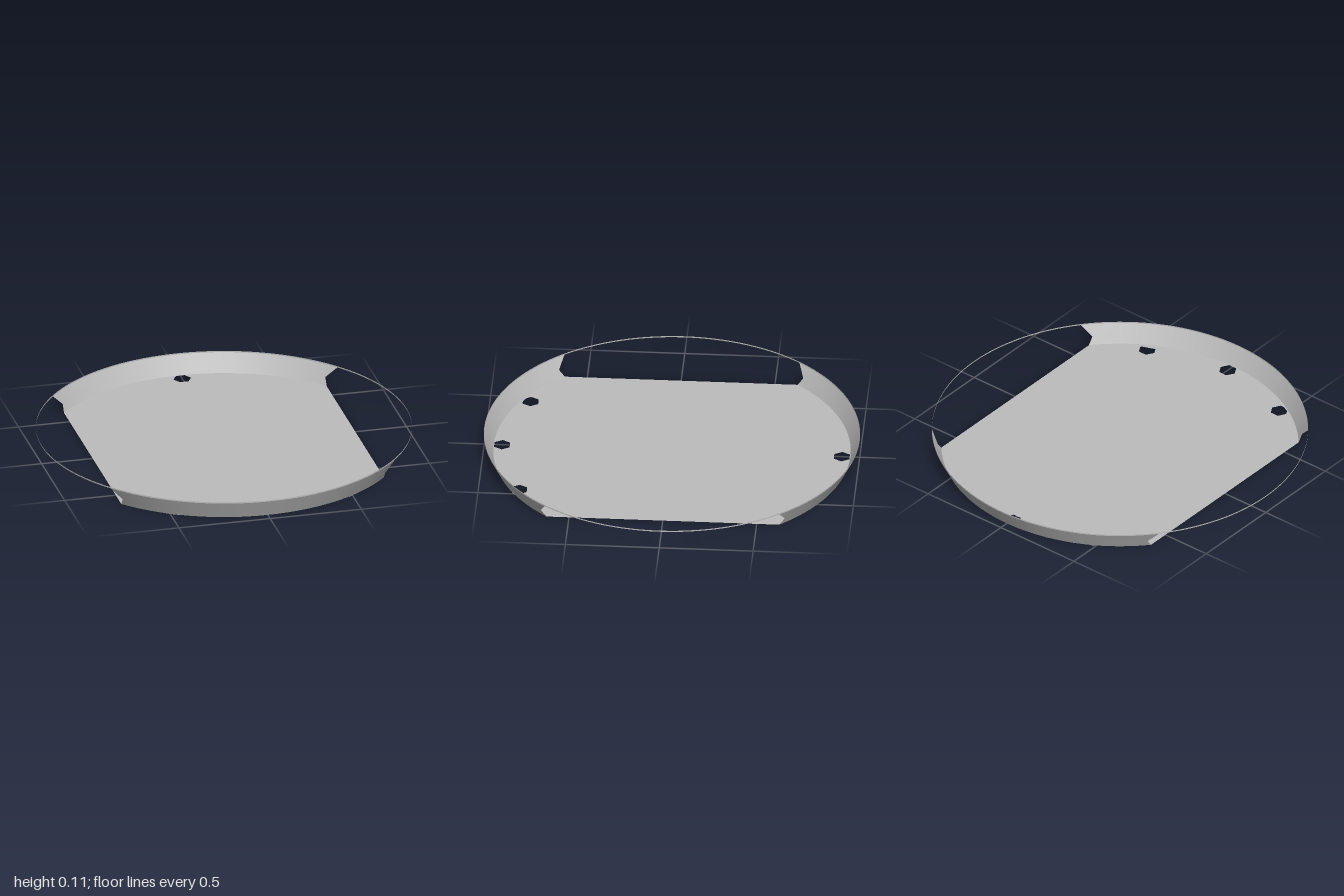
import * as THREE from 'three';

const BASE_R = 0.95, RIM_R = 1, HALF_W = 0.72;
const WALL_TOP = 0.1, RIM_TOP = 0.107;

// Flat floor: a disc trimmed straight on both sides, with six hexagonal holes
function floorGeometry() {
  const a = Math.acos(HALF_W / BASE_R);
  const shape = new THREE.Shape();
  shape.absarc(0, 0, BASE_R, a, Math.PI - a, false);
  shape.absarc(0, 0, BASE_R, Math.PI + a, 2 * Math.PI - a, false);
  shape.closePath();
  for (const side of [0, Math.PI]) {
    for (const offset of [-Math.PI / 6, 0, Math.PI / 6]) {
      const t = side + offset;
      const hole = new THREE.Path();
      for (let k = 0; k < 6; k++) {
        const h = -k * Math.PI / 3;
        const x = 0.905 * Math.sin(t) + 0.048 * Math.cos(h);
        const y = 0.905 * Math.cos(t) + 0.048 * Math.sin(h);
        if (k) hole.lineTo(x, y); else hole.moveTo(x, y);
      }
      hole.closePath();
      shape.holes.push(hole);
    }
  }
  return new THREE.ShapeGeometry(shape, 48).rotateX(-Math.PI / 2);
}

// Sloping wall: arcs whose ends follow the trimmed side, then flare outward
function wallGeometry() {
  const rows = [[0, HALF_W], [0.02, HALF_W], [0.04, HALF_W], [0.07, 0.75], [WALL_TOP, 0.78]];
  const n = 64, positions = [], index = [];
  rows.forEach(([y, halfX], j) => {
    const r = BASE_R + (RIM_R - BASE_R) * y / WALL_TOP;
    const end = Math.asin(halfX / r);
    for (let i = 0; i <= n; i++) {
      const a = -end + 2 * end * i / n;
      positions.push(r * Math.sin(a), y, r * Math.cos(a));
      if (j && i) {
        const d = j * (n + 1) + i, c = d - 1, b = d - n - 1, e = b - 1;
        index.push(e, b, d, e, d, c);
      }
    }
  });
  const g = new THREE.BufferGeometry();
  g.setAttribute('position', new THREE.Float32BufferAttribute(positions, 3));
  g.setIndex(index);
  g.computeVertexNormals();
  return g;
}

export function createModel() {
  const model = new THREE.Group();
  model.name = 'trimmedTray';
  const metal = new THREE.MeshStandardMaterial({ color: 0xbcbcbc, side: THREE.DoubleSide });
  metal.name = 'grey metal';

  const add = (name, geometry) => {
    const mesh = new THREE.Mesh(geometry, metal);
    mesh.name = name;
    model.add(mesh);
    return mesh;
  };

  add('floor', floorGeometry());
  const wall = wallGeometry();
  add('frontWall', wall);
  add('backWall', wall).rotation.y = Math.PI;

  // Thin full-circle band around the top
  const band = new THREE.CylinderGeometry(RIM_R, RIM_R, RIM_TOP - WALL_TOP, 128, 1, true);
  add('rimBand', band).position.y = (RIM_TOP + WALL_TOP) / 2;
  return model;
}
